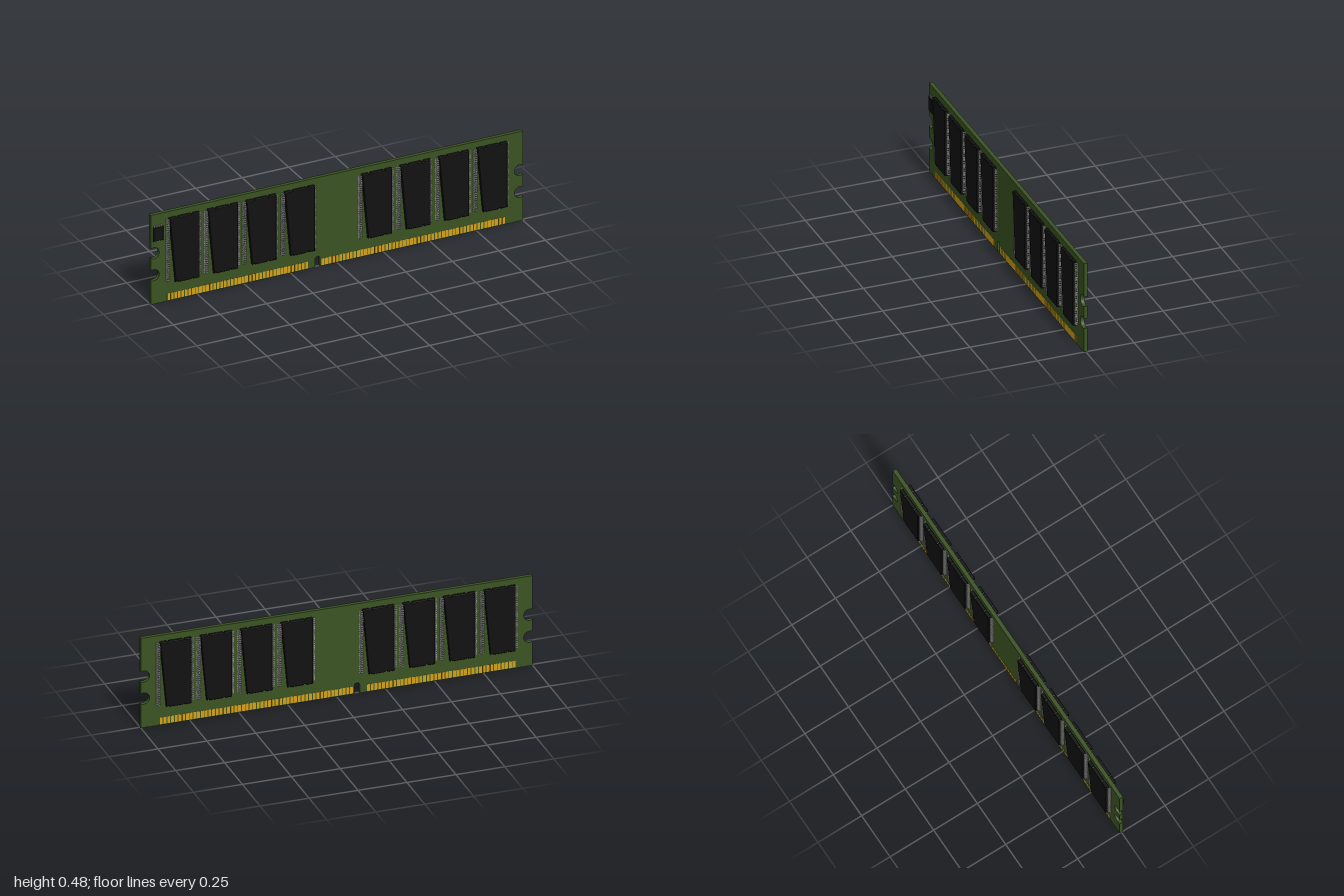
import * as THREE from 'three';
import { mergeGeometries } from 'three/addons/utils/BufferGeometryUtils.js';

const mat = (color) => new THREE.MeshStandardMaterial({ color });
const green = mat(0x3b5323), black = mat(0x111111), silver = mat(0xa8a8a8), gold = mat(0xd4a017);
const HALF = 0.01; // half the board thickness

function mesh(name, geometry, material) {
  const m = new THREE.Mesh(geometry, material);
  m.name = name;
  return m;
}

// Board outline with latch notches at both ends and the key slot below
function boardGeometry() {
  const s = new THREE.Shape();
  const r = 0.03, cx = 0.985, a = Math.PI / 3, latchY = [0.155, 0.273];
  const keyX = -0.104, keyR = 0.014;
  s.moveTo(-1, 0);
  s.lineTo(keyX - keyR, 0);
  s.lineTo(keyX - keyR, 0.043);
  s.absarc(keyX, 0.043, keyR, Math.PI, 0, true);
  s.lineTo(keyX + keyR, 0);
  s.lineTo(1, 0);
  for (const y of latchY) s.absarc(cx, y, r, -a, a, true);
  s.lineTo(1, 0.48);
  s.lineTo(-1, 0.48);
  for (const y of [...latchY].reverse()) s.absarc(-cx, y, r, Math.PI - a, Math.PI + a, true);
  s.closePath();
  const g = new THREE.ExtrudeGeometry(s, { depth: 2 * HALF, bevelEnabled: false, curveSegments: 16 });
  return g.translate(0, 0, -HALF);
}

// Chip package: chamfered slab with two small notches in each short end
function packageGeometry(w, h, z0, z1, notchX, notchR) {
  const b = 0.002, x = w / 2 - b, y = h / 2 - b;
  const s = new THREE.Shape();
  s.moveTo(-x, -y);
  for (const n of notchX) s.absarc(n, -y, notchR, Math.PI, 0, true);
  s.lineTo(x, -y);
  s.lineTo(x, y);
  for (const n of [...notchX].reverse()) s.absarc(n, y, notchR, 0, Math.PI, true);
  s.lineTo(-x, y);
  s.closePath();
  const g = new THREE.ExtrudeGeometry(s, {
    depth: z1 - z0 - 2 * b, bevelThickness: b, bevelSize: b, bevelSegments: 1, curveSegments: 6,
  });
  return g.translate(0, 0, z0 + b);
}

// Rows of gull-wing leads along both long sides (x = +-w/2)
function leadsGeometry(w, count, pitch, width, shoulder, reach) {
  const e = w / 2, t = 0.003, f = HALF;
  const s = new THREE.Shape([
    [e - 0.004, shoulder - t], [e + reach * 0.3, shoulder - t], [e + reach * 0.5, f],
    [e + reach, f], [e + reach, f + t], [e + reach * 0.7, f + t],
    [e + reach * 0.5, shoulder], [e - 0.004, shoulder],
  ].map(([x, z]) => new THREE.Vector2(x, z)));
  const one = new THREE.ExtrudeGeometry(s, { depth: width, bevelEnabled: false });
  one.translate(0, 0, -width / 2).rotateX(Math.PI / 2); // profile height becomes +z
  const other = one.clone().rotateZ(Math.PI);
  const parts = [];
  for (let i = 0; i < count; i++) {
    const y = (i - (count - 1) / 2) * pitch;
    parts.push(one.clone().translate(0, y, 0), other.clone().translate(0, y, 0));
  }
  return mergeGeometries(parts);
}

// Gold edge contacts: 40 on one side of the key slot, 52 on the other
function contactsGeometry() {
  const pitch = 0.01905, parts = [];
  for (const [start, count] of [[-0.915, 40], [-0.085, 52]]) {
    for (let i = 0; i < count; i++) {
      parts.push(new THREE.BoxGeometry(0.0145, 0.036, 0.001)
        .translate(start + (i + 0.5) * pitch, 0.022, HALF + 0.0003));
    }
  }
  return mergeGeometries(parts);
}

export function createModel() {
  const model = new THREE.Group();
  model.name = 'memoryModule';
  model.add(mesh('circuitBoard', boardGeometry(), green));

  // Eight memory chips on each face
  const body = packageGeometry(0.16, 0.35, 0.012, 0.03, [-0.04, 0.04], 0.007);
  const leads = leadsGeometry(0.16, 33, 0.0102, 0.0066, 0.0205, 0.015);
  for (const face of ['front', 'back']) {
    const side = new THREE.Group();
    side.name = face + 'Chips';
    if (face === 'back') side.rotation.y = Math.PI;
    for (const x of [-0.827, -0.621, -0.415, -0.208, 0.208, 0.415, 0.621, 0.827]) {
      const chip = new THREE.Group();
      chip.name = 'memoryChip';
      chip.add(mesh('chipBody', body, black), mesh('chipLeads', leads, silver));
      chip.position.set(x, 0.275, 0);
      side.add(chip);
    }
    model.add(side);
  }

  // Contacts sit at the same x on both faces
  const contacts = contactsGeometry();
  model.add(mesh('frontContacts', contacts, gold));
  model.add(mesh('backContacts', contacts.clone().translate(0, 0, -2 * HALF - 0.0006), gold));

  // Small controller chip near the end, leads above and below
  const small = new THREE.Group();
  small.name = 'controllerChip';
  const smallLeads = leadsGeometry(0.074, 4, 0.013, 0.005, 0.0145, 0.008).rotateZ(Math.PI / 2);
  small.add(mesh('controllerBody', packageGeometry(0.054, 0.076, 0.0105, 0.018, [], 0), black));
  small.add(mesh('controllerLeads', smallLeads, silver));
  small.position.set(-0.964, 0.376, 0);
  model.add(small);
  return model;
}
